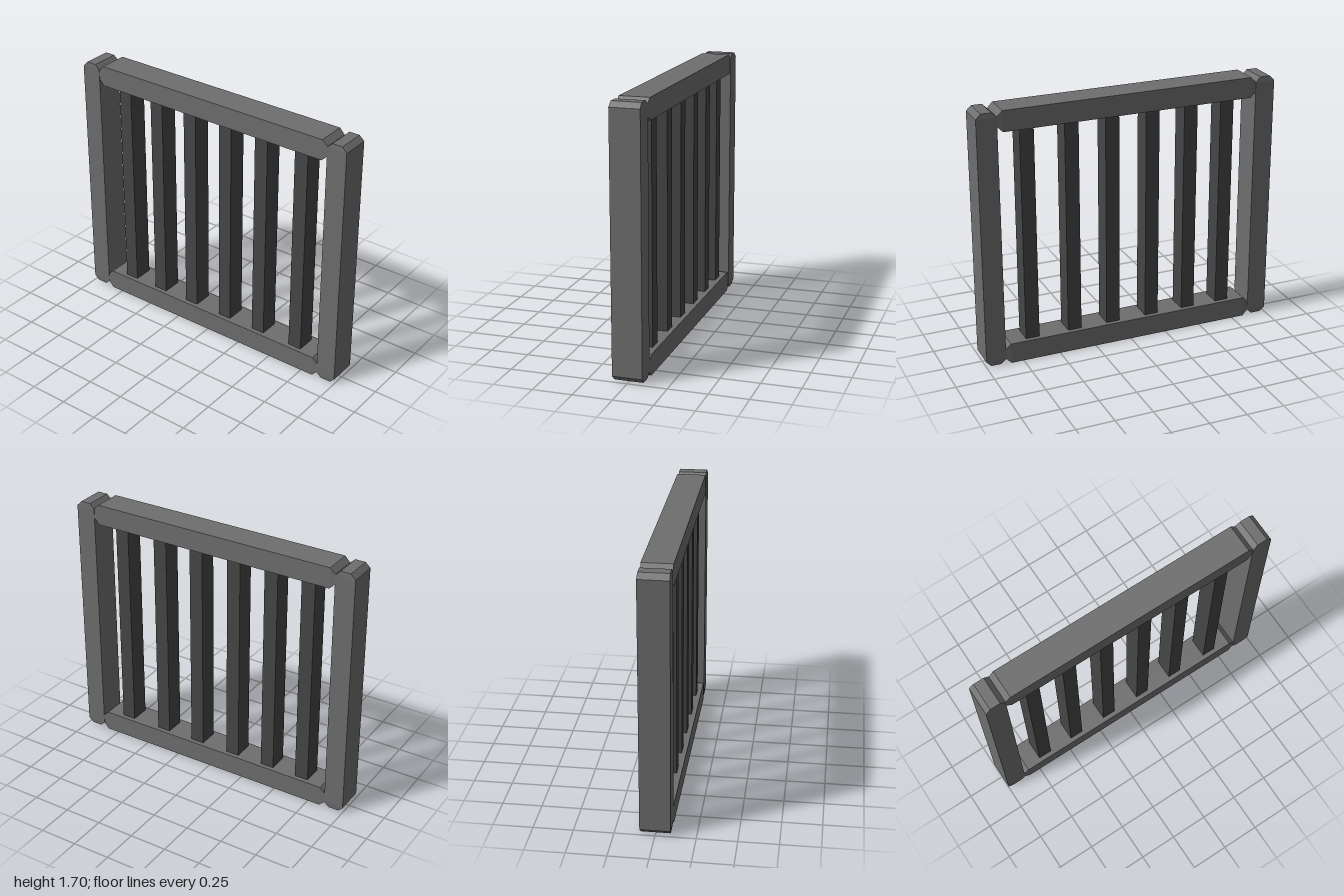
import * as THREE from 'three';

const frameMaterial = new THREE.MeshStandardMaterial({ color: 0x6e6e6e, flatShading: true });
const barMaterial = new THREE.MeshStandardMaterial({ color: 0x464646, flatShading: true });

// Upright beam whose two ends taper in width over the length of the chamfer
function beamGeometry(width, length, depth, chamfer, inset) {
  const geometry = new THREE.BoxGeometry(width, length, depth, 1, 3, 1);
  const p = geometry.attributes.position;
  for (let i = 0; i < p.count; i++) {
    const y = p.getY(i);
    if (Math.abs(y) > length * 0.4) {
      p.setX(i, p.getX(i) - Math.sign(p.getX(i)) * inset);
      p.setZ(i, p.getZ(i) - Math.sign(p.getZ(i)) * 0.003);
    } else {
      p.setY(i, Math.sign(y) * (length / 2 - chamfer));
    }
  }
  geometry.computeVertexNormals();
  return geometry;
}

export function createModel() {
  const group = new THREE.Group();
  const add = (name, geometry, material, x, y) => {
    const mesh = new THREE.Mesh(geometry, material);
    mesh.name = name;
    mesh.position.set(x, y, 0);
    group.add(mesh);
    return mesh;
  };

  // Side posts
  const post = beamGeometry(0.132, 1.685, 0.19, 0.032, 0.032);
  add('leftPost', post, frameMaterial, 0.934, 0.848);
  add('rightPost', post, frameMaterial, -0.934, 0.848);

  // Horizontal rails
  const rail = beamGeometry(0.135, 1.736, 0.19, 0.035, 0.035).rotateZ(Math.PI / 2);
  add('bottomRail', rail, frameMaterial, 0, 0.0675);
  add('topRail', rail, frameMaterial, 0, 1.628);

  // Unevenly spaced bars; the last one sits slightly lower
  const bar = beamGeometry(0.092, 1.47, 0.13, 0.018, 0.016);
  [-0.68, -0.425, -0.16, 0.115, 0.385, 0.675].forEach((x, i) => {
    add('bar' + (i + 1), bar, barMaterial, x, i === 5 ? 0.826 : 0.848);
  });

  return group;
}
